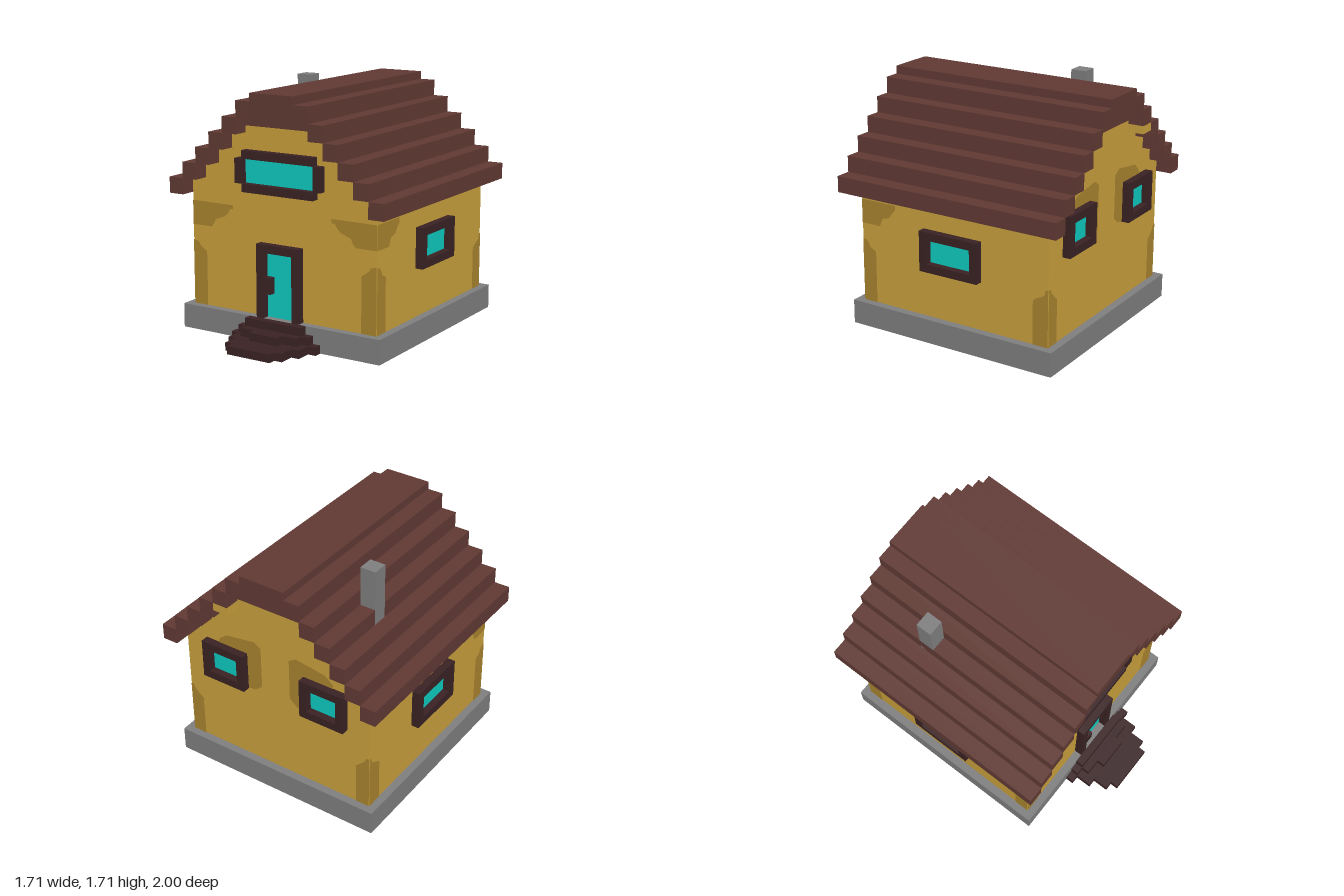
import * as THREE from 'three';

const U = 2 / 35; // one block; all sizes below are in blocks
const mat = (name, color) => Object.assign(new THREE.MeshStandardMaterial({ color }), { name });

export function createModel() {
  const M = {
    wall: mat('ochre wall', 0xc9a03c),
    stain: mat('dark ochre', 0xa9842e),
    roof: mat('brown roof', 0x613a34),
    wood: mat('dark wood', 0x3a2224),
    glass: mat('turquoise glass', 0x0ecbc0),
    stone: mat('grey stone', 0x7f7f7f),
  };
  const house = new THREE.Group();
  house.name = 'house';
  house.scale.setScalar(U);

  const group = (name) => {
    const g = new THREE.Group();
    g.name = name;
    house.add(g);
    return g;
  };
  const box = (parent, name, m, x0, x1, y0, y1, z0, z1) => {
    const mesh = new THREE.Mesh(new THREE.BoxGeometry(x1 - x0, y1 - y0, z1 - z0), m);
    mesh.position.set((x0 + x1) / 2, (y0 + y1) / 2, (z0 + z1) / 2);
    mesh.name = name;
    parent.add(mesh);
    return mesh;
  };

  const FRONT = 10.5, BACK = -15.5, SIDE = 13;

  // Stone base and chimney
  box(house, 'foundation', M.stone, -14, 14, 0, 3, -16.5, 11.5);
  box(house, 'chimney', M.stone, -9, -7, 23, 30, -8.5, -6.5);

  // Walls with stepped gables
  const half = [[13, 3], [13, 19], [11, 19], [11, 21], [9, 21], [9, 23], [7, 23], [7, 25], [5, 25], [5, 26]];
  const outline = [...half, ...half.map(([x, y]) => [-x, y]).reverse()];
  const wallGeo = new THREE.ExtrudeGeometry(
    new THREE.Shape(outline.map(([x, y]) => new THREE.Vector2(x, y))),
    { depth: FRONT - BACK, bevelEnabled: false });
  const walls = new THREE.Mesh(wallGeo, M.wall);
  walls.position.z = BACK;
  walls.name = 'walls';
  house.add(walls);

  // Stepped roof
  const roof = group('roof');
  const Z0 = -17.5, Z1 = 12.5;
  for (let i = 0; i < 5; i++) {
    const x = 13 - 2 * i, y = 17 + 2 * i;
    box(roof, 'roofStepLeft', M.roof, x, x + 2, y, y + 2, Z0, Z1);
    box(roof, 'roofStepRight', M.roof, -x - 2, -x, y, y + 2, Z0, Z1);
  }
  box(roof, 'ridgeCap', M.roof, -3, 3, 29, 30, Z0, Z1);
  box(roof, 'ridgeSlab', M.roof, -5, 5, 28, 29, Z0, Z1);
  box(roof, 'ridgeInner', M.roof, -4, 4, 27, 28, Z0 + 1, Z1 - 1);
  box(roof, 'ridgeLower', M.roof, -5, 5, 26, 27, Z0 + 1, Z1 - 1);
  for (const s of [-1, 1]) {
    const [a, b] = s > 0 ? [4, 5] : [-5, -4];
    box(roof, 'ridgeEdge', M.roof, a, b, 27, 28, Z0, Z1);
    // Small wall-coloured brackets under the back overhang
    const [c, d] = s > 0 ? [5, 7] : [-7, -5];
    box(house, 'backBracket', M.wall, c, d, 24, 25, Z0, BACK);
  }

  // Door with frame and handle
  const door = group('door');
  box(door, 'doorPane', M.glass, -2, 2, 3, 11, FRONT, FRONT + 0.1);
  box(door, 'doorPostRight', M.wood, -3, -2, 3, 12, FRONT, FRONT + 1);
  box(door, 'doorPostLeft', M.wood, 2, 3, 3, 12, FRONT, FRONT + 1);
  box(door, 'doorLintel', M.wood, -2, 2, 11, 12, FRONT, FRONT + 1);
  box(door, 'doorHandle', M.wood, -2, -1, 6, 8, FRONT, FRONT + 1);

  // Wide upper window
  const upper = group('upperWindow');
  box(upper, 'upperPane', M.glass, -5, 5, 19, 22, FRONT, FRONT + 0.1);
  box(upper, 'upperFrameTop', M.wood, -5, 5, 22, 23, FRONT, FRONT + 1);
  box(upper, 'upperFrameSill', M.wood, -5, 5, 18, 19, FRONT, FRONT + 1);
  box(upper, 'upperFrameRight', M.wood, -6, -5, 19, 22, FRONT, FRONT + 1);
  box(upper, 'upperFrameLeft', M.wood, 5, 6, 19, 22, FRONT, FRONT + 1);

  // Framed windows, built facing +z and then turned
  const framedWindow = (name, w, x, y, z, turn) => {
    const g = group(name);
    box(g, 'pane', M.glass, 1 - w / 2, w / 2 - 1, 1, 4, 0, 0.1);
    box(g, 'frameTop', M.wood, -w / 2, w / 2, 4, 5, 0, 1);
    box(g, 'frameSill', M.wood, -w / 2, w / 2, 0, 1, 0, 1);
    box(g, 'frameSideA', M.wood, -w / 2, 1 - w / 2, 1, 4, 0, 1);
    box(g, 'frameSideB', M.wood, w / 2 - 1, w / 2, 1, 4, 0, 1);
    g.position.set(x, y, z);
    g.rotation.y = turn;
  };
  for (const s of [-1, 1]) {
    framedWindow(s > 0 ? 'leftWindow' : 'rightWindow', 8, s * SIDE, 9, -2.5, s * Math.PI / 2);
    framedWindow('backWindow', 6, s * 7, 13, BACK, Math.PI);
  }

  // Front steps: [half width, front z] slabs for each level
  const steps = group('frontSteps');
  const levels = [
    [[6, 12.5], [5, 14.5], [4, 16.5], [3, 17.5]],
    [[5, 12.5], [4, 13.5], [2, 14.5]],
    [[4, 12.5]],
  ];
  levels.forEach((slabs, y) => {
    let z = 11.5;
    for (const [w, z1] of slabs) {
      box(steps, 'step', M.wood, -w, w, y, y + 1, z, z1);
      z = z1;
    }
  });

  // Painted dark patches: points are [distance along the wall, height]
  const patch = (name, pts, flip, x, z, turn) => {
    const shape = new THREE.Shape(pts.map(([a, y]) => new THREE.Vector2(flip * a, y)));
    const mesh = new THREE.Mesh(new THREE.ShapeGeometry(shape), M.stain);
    mesh.position.set(x, 0, z);
    mesh.rotation.y = turn;
    mesh.name = name;
    house.add(mesh);
  };
  const E = 0.06;
  const frontHigh = [[13, 13], [10.2, 13], [9.8, 13.5], [9.6, 14], [8.2, 14.5], [7.7, 15], [7.4, 15.5], [7, 15.5], [7, 16], [13, 16]];
  const frontLow = [[13, 3], [11, 3], [11, 9.8], [11.6, 10.2], [12, 10.5], [12.2, 10.9], [13, 11.1]];
  const sideHigh = [[10.5, 13], [7.9, 13], [7.5, 14], [6.5, 14.3], [6, 15], [5.6, 15.4], [5.6, 16], [10.5, 16]];
  const sideLow = [[10.5, 3], [8.6, 3], [8.6, 9.6], [9.4, 10], [9.6, 10.5], [10, 10.9], [10.5, 11]];
  const sideBack = [[-15.5, 3], [-13.5, 3], [-13.5, 8.4], [-14, 8.8], [-14.5, 9], [-15, 9.3], [-15.2, 10], [-15.5, 10]];
  const backLow = [[13, 3], [11.2, 3], [11.2, 8.4], [11.8, 8.9], [12.4, 9.5], [12.6, 10], [13, 10]];
  const backHigh = [[3, 13.2], [2, 14], [2, 19.4], [3, 20], [7, 19.4], [8, 18.6], [8.5, 17], [5, 13]];
  for (const s of [-1, 1]) {
    for (const p of [frontHigh, frontLow]) patch('frontPatch', p, s, 0, FRONT + E, 0);
    for (const p of [sideHigh, sideLow, sideBack]) patch('sidePatch', p, -s, s * (SIDE + E), 0, s * Math.PI / 2);
    for (const p of [backLow, backHigh]) patch('backPatch', p, s, 0, BACK - E, Math.PI);
  }

  const model = new THREE.Group();
  model.name = 'cottage';
  model.add(house);
  return model;
}
